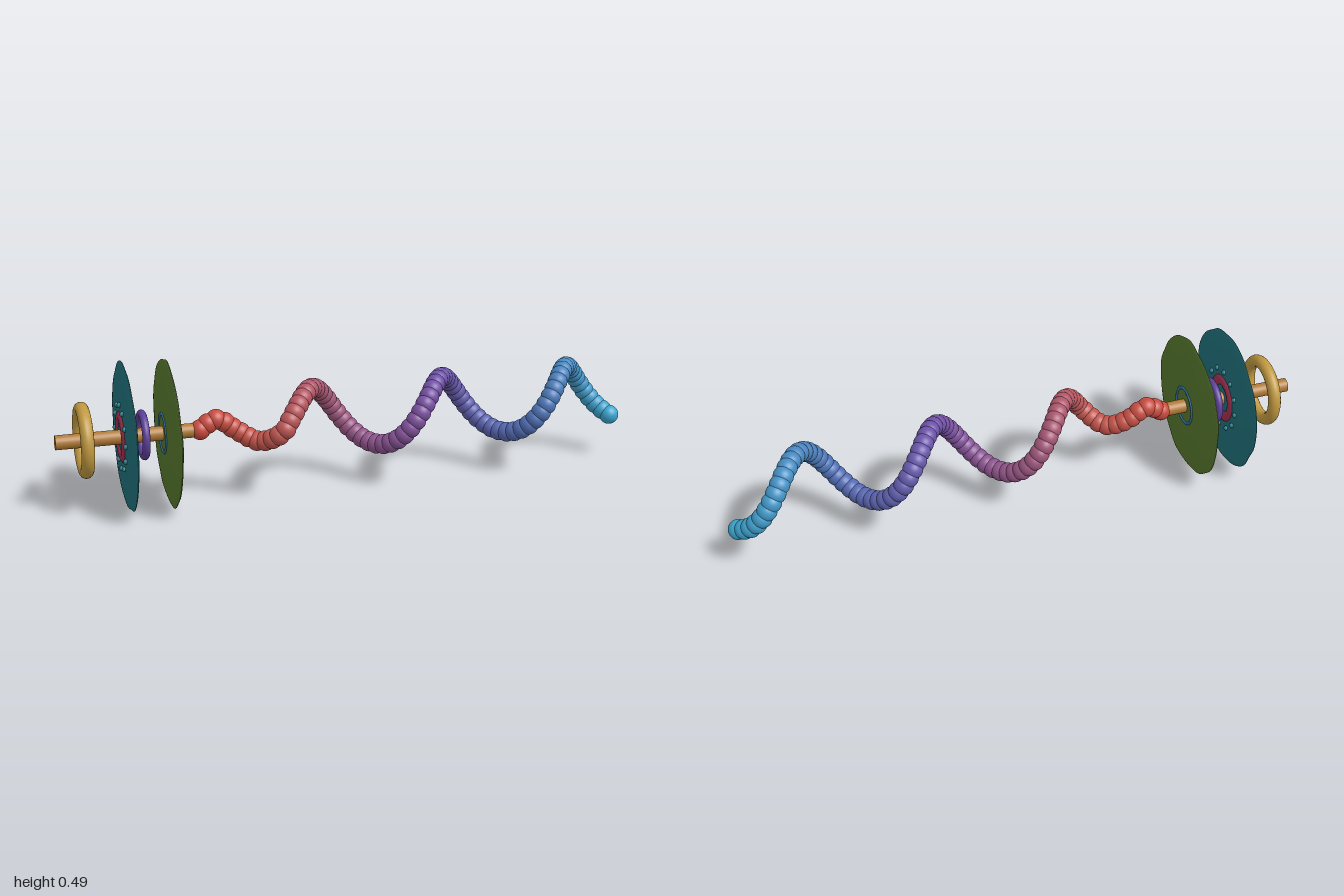
import * as THREE from 'three';

const AXIS_Y = 0.25;
const mat = (color) => new THREE.MeshStandardMaterial({ color });

function add(group, name, geometry, color, x, y = 0, z = 0) {
  const mesh = new THREE.Mesh(geometry, color.isMaterial ? color : mat(color));
  mesh.name = name;
  mesh.position.set(x, AXIS_Y + y, z);
  group.add(mesh);
  return mesh;
}

// Ring whose axle runs along x
const ring = (radius, tube) =>
  new THREE.TorusGeometry(radius, tube, 16, 56).rotateY(Math.PI / 2);

// Lens-shaped disc with a wavy rim and softly uneven faces
function wavyDisc(radius, halfThickness, phase) {
  const g = new THREE.SphereGeometry(1, 72, 36).rotateZ(Math.PI / 2);
  const p = g.attributes.position;
  for (let i = 0; i < p.count; i++) {
    const x = p.getX(i), y = p.getY(i), z = p.getZ(i);
    const a = Math.atan2(z, y), r = Math.hypot(y, z);
    const wave = 1 + r * (0.012 * Math.sin(5 * a + phase) + 0.008 * Math.sin(9 * a + 2 * phase)
      + 0.005 * Math.sin(14 * a + phase));
    const bump = 1 + 0.08 * r * Math.sin(9 * y + phase) * Math.cos(8 * z - phase);
    p.setXYZ(i, x * halfThickness * bump, y * radius * wave, z * radius * wave);
  }
  g.computeVertexNormals();
  return g;
}

// Path of the tail: a short lead-in that opens into a steady helix
function tailCurve() {
  const points = [
    [-0.525, 0, 0], [-0.47, 0.03, -0.003], [-0.40, -0.015, 0.003], [-0.335, -0.045, 0.04],
  ].map((c) => new THREE.Vector3(...c));
  const start = -0.27, end = 0.965, n = 44;
  for (let i = 0; i <= n; i++) {
    const x = start + (end - start) * i / n;
    const a = (x + 0.155) / 0.46 * Math.PI * 2;
    points.push(new THREE.Vector3(x, 0.105 * Math.cos(a), -0.105 * Math.sin(a)));
  }
  return new THREE.CatmullRomCurve3(points);
}

// Colour along the tail, red through violet to light blue
const STOPS = [[0, 0xc8493c], [0.12, 0xc0564e], [0.3, 0x9c567c], [0.52, 0x6f4fa8], [0.75, 0x4f6db4], [1, 0x3ba5cf]];
function tailColor(t) {
  let k = 0;
  while (k < STOPS.length - 2 && t > STOPS[k + 1][0]) k++;
  const [t0, c0] = STOPS[k], [t1, c1] = STOPS[k + 1];
  return new THREE.Color(c0).lerp(new THREE.Color(c1), (t - t0) / (t1 - t0));
}

export function createModel() {
  const model = new THREE.Group();
  model.name = 'rotaryTail';

  // Drive shaft and its outer ring
  add(model, 'shaft', new THREE.CylinderGeometry(0.024, 0.024, 0.5, 24).rotateZ(Math.PI / 2), 0xb07a35, -0.75);
  add(model, 'outerRing', ring(0.103, 0.022), 0xbf9840, -0.908);

  // Rear disc with its inner ring and studs on both faces
  add(model, 'rearDisc', wavyDisc(0.245, 0.016, 2.1), 0x1f6f78, -0.772);
  add(model, 'innerRing', ring(0.066, 0.024), 0xa03050, -0.772);
  const studs = new THREE.Group();
  studs.name = 'studs';
  model.add(studs);
  const studGeo = new THREE.SphereGeometry(0.009, 12, 8);
  const studMat = mat(0x2f7f8c);
  for (let i = 0; i < 12; i++) {
    const a = i / 12 * Math.PI * 2;
    for (const side of [-1, 1]) {
      add(studs, 'stud', studGeo, studMat, -0.772 + side * 0.016, 0.108 * Math.cos(a), 0.108 * Math.sin(a));
    }
  }

  // Spacer ring between the discs
  add(model, 'spacerRing', ring(0.07, 0.013), 0x5c3f98, -0.715);

  // Front disc with a thin ring on each face
  add(model, 'frontDisc', wavyDisc(0.245, 0.018, 0.4), 0x55752c, -0.632);
  for (const side of [-1, 1]) {
    add(model, 'faceRing', ring(0.064, 0.006), 0x2f6f9c, -0.632 + side * 0.016);
  }

  // Beaded helical tail
  const tail = new THREE.Group();
  tail.name = 'tail';
  model.add(tail);
  const beadGeo = new THREE.SphereGeometry(0.034, 24, 16);
  const count = 80;
  tailCurve().getSpacedPoints(count - 1).forEach((p, i) => {
    add(tail, 'bead', beadGeo, mat(tailColor(i / (count - 1))), p.x, p.y, p.z);
  });

  return model;
}
